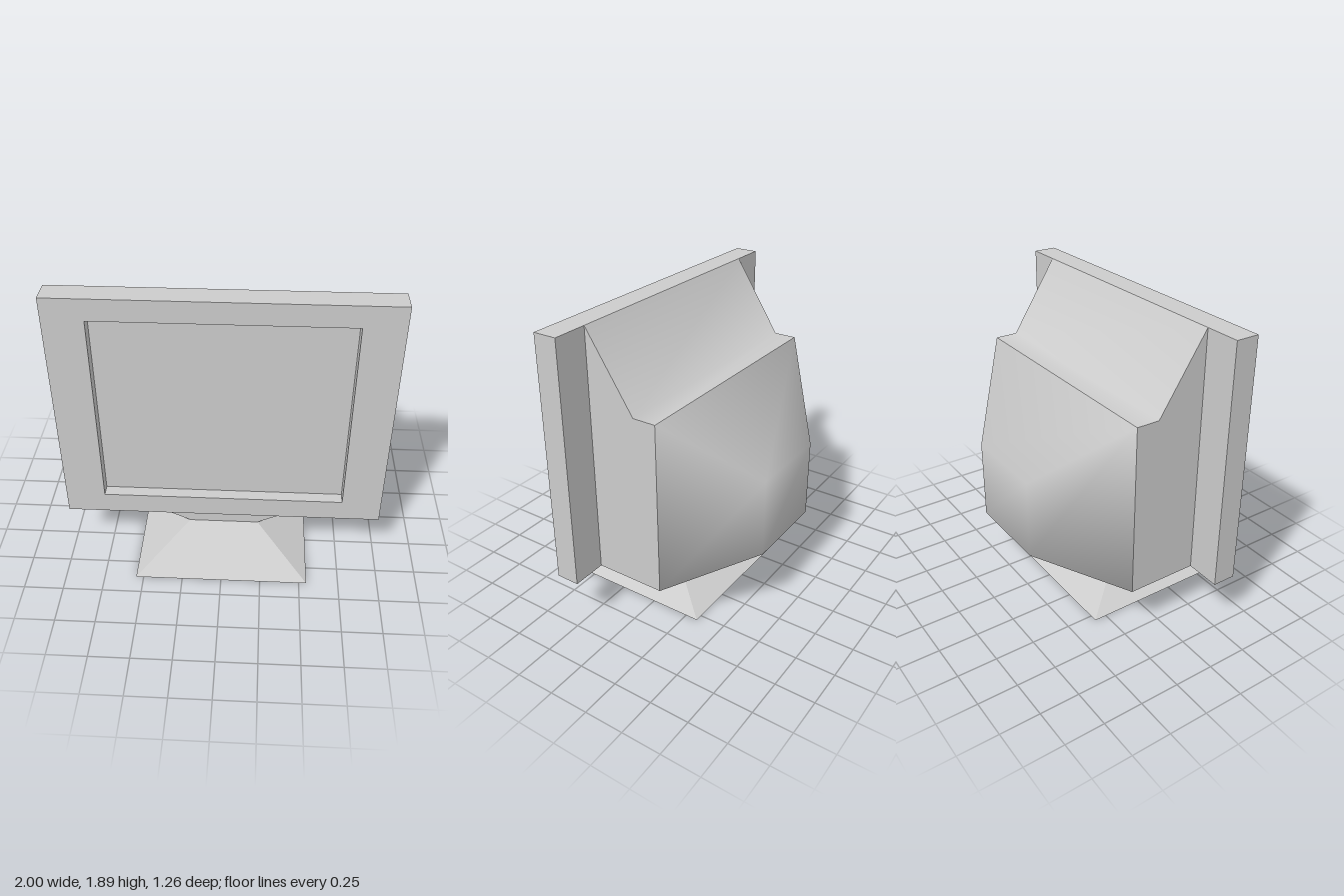
import * as THREE from 'three';
import { mergeVertices, toCreasedNormals } from 'three/addons/utils/BufferGeometryUtils.js';

const material = new THREE.MeshStandardMaterial({ color: 0xcccccc });

// Unit box whose corners are moved by a rule: place(sx, sy, sz) -> [x, y, z], signs are -1 or 1
function shapedBox(place) {
  const geometry = new THREE.BoxGeometry(2, 2, 2);
  const p = geometry.attributes.position;
  for (let i = 0; i < p.count; i++) p.setXYZ(i, ...place(p.getX(i), p.getY(i), p.getZ(i)));
  geometry.computeVertexNormals();
  return geometry;
}

// Block with a rectangular plan that changes half-width and z range from bottom to top
function taperedBlock(bottom, top) {
  return shapedBox((sx, sy, sz) => {
    const r = sy < 0 ? bottom : top;
    return [sx * r.halfWidth, r.y, sz < 0 ? r.back : r.front];
  });
}

function rectangle(path, x, y0, y1) {
  path.moveTo(-x, y0);
  path.lineTo(x, y0);
  path.lineTo(x, y1);
  path.lineTo(-x, y1);
  path.closePath();
  return path;
}

export function createModel() {
  const group = new THREE.Group();
  const add = (name, geometry) => {
    const mesh = new THREE.Mesh(geometry, material);
    mesh.name = name;
    group.add(mesh);
    return mesh;
  };

  // Front frame with the screen opening
  const frame = rectangle(new THREE.Shape(), 1, 0.333, 1.89);
  frame.holes.push(rectangle(new THREE.Path(), 0.755, 0.473, 1.752));
  add('bezel', new THREE.ExtrudeGeometry(frame, { depth: 0.148, bevelEnabled: false }))
    .position.z = 0.222;

  // Recessed screen
  add('screen', new THREE.BoxGeometry(1.52, 1.29, 0.07)).position.set(0, 1.1125, 0.26);

  // Housing: side profile (z, y) extruded across the width
  const profile = new THREE.Shape(
    [[0.222, 0.333], [0.222, 1.89], [-0.08, 1.427], [-0.225, 1.427], [-0.225, 0.333]]
      .map(([z, y]) => new THREE.Vector2(-z, y)));
  const housing = new THREE.ExtrudeGeometry(profile, { depth: 1.556, bevelEnabled: false });
  housing.translate(0, 0, -0.778).rotateY(Math.PI / 2);
  add('housing', toCreasedNormals(housing, THREE.MathUtils.degToRad(60)));

  // Tapered rear shell, smoothly shaded and open where it meets the housing
  let rear = shapedBox((sx, sy, sz) => sz > 0
    ? [sx * 0.778, sy < 0 ? 0.333 : 1.427, -0.225]
    : [sx * 0.28, sy < 0 ? 0.46 : 0.965, -0.63]);
  const index = Array.from(rear.index.array);
  index.splice(24, 6); // front face
  rear.setIndex(index);
  rear.deleteAttribute('normal');
  rear.deleteAttribute('uv');
  rear = mergeVertices(rear);
  rear.computeVertexNormals();
  add('rearShell', rear);

  // Stand: flared neck on a pyramid-like foot
  add('neck', taperedBlock(
    { y: 0.157, halfWidth: 0.225, front: 0.252, back: 0.045 },
    { y: 0.334, halfWidth: 0.595, front: 0.252, back: 0.045 }));
  add('foot', taperedBlock(
    { y: 0, halfWidth: 0.548, front: 0.63, back: -0.33 },
    { y: 0.157, halfWidth: 0.225, front: 0.252, back: 0.045 }));

  return group;
}
